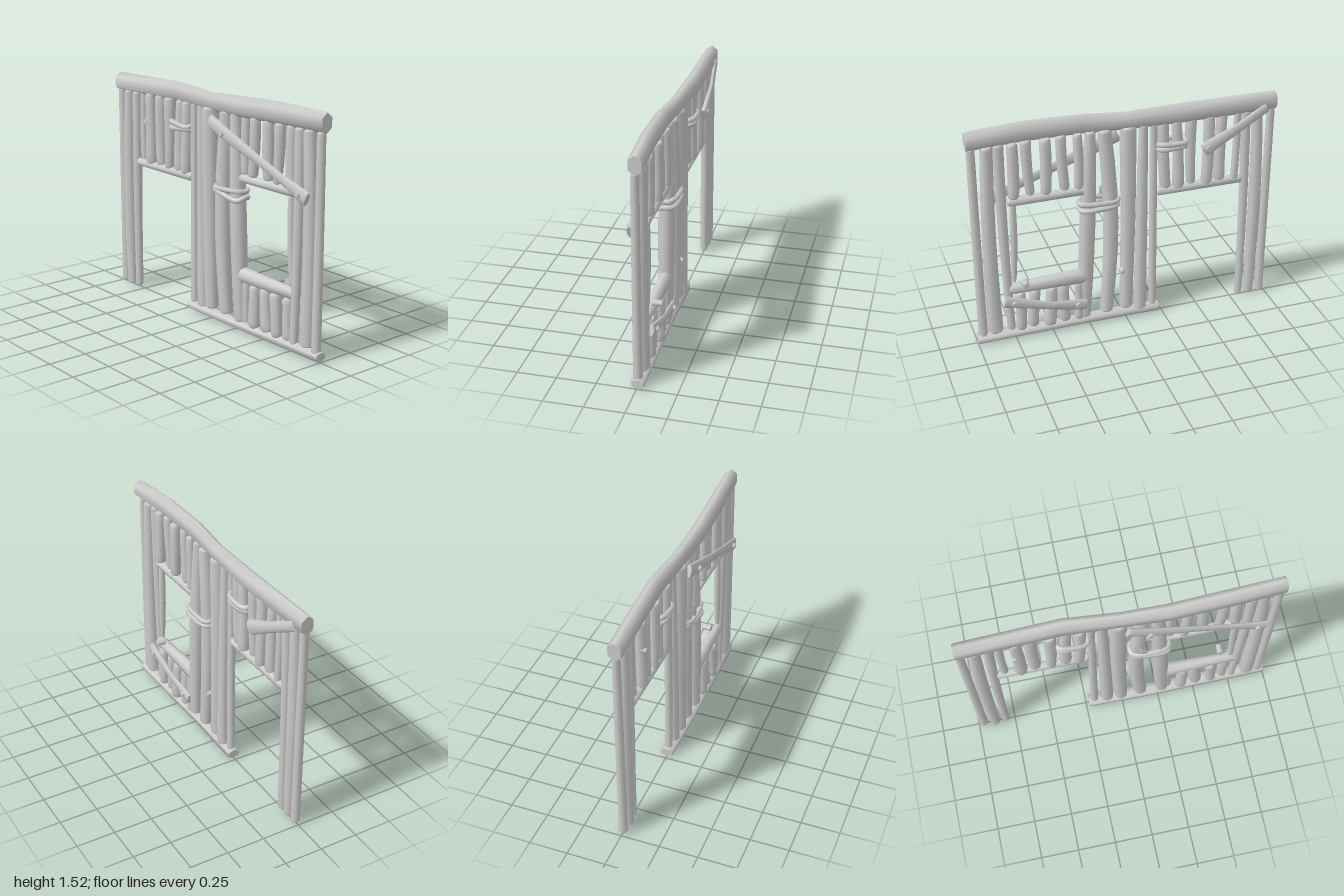
import * as THREE from 'three';

const wood = new THREE.MeshStandardMaterial({ color: 0xcccccc });
wood.name = 'paleWood';

// Smooth log through stations [x, y, z, radius] lying roughly in the wall plane; depth scales its z radius
function log(name, stations, { sides = 8, depth = 1, bevel = 0.75 } = {}) {
  const p = stations.map(s => new THREE.Vector3(s[0], s[1], s[2]));
  const r = stations.map(s => s[3]);
  // small bevel at both ends
  const inset = 0.014, last = p.length - 1;
  const start = p[0].clone(), end = p[last].clone();
  p[0].add(p[1].clone().sub(start).setLength(inset));
  p[last].add(p[last - 1].clone().sub(end).setLength(inset));
  p.unshift(start); r.unshift(r[0] * bevel);
  p.push(end); r.push(r[r.length - 1] * bevel);

  const pos = [], idx = [], n = p.length;
  const ring = i => {
    const t = p[Math.min(i + 1, n - 1)].clone().sub(p[Math.max(i - 1, 0)]);
    const l = Math.hypot(t.x, t.y);
    for (let j = 0; j < sides; j++) {
      const a = j / sides * Math.PI * 2, c = Math.cos(a) * r[i];
      pos.push(p[i].x + t.y / l * c, p[i].y - t.x / l * c, p[i].z - Math.sin(a) * r[i] * depth);
    }
  };
  for (let i = 0; i < n; i++) ring(i);
  for (let i = 0; i < n - 1; i++) for (let j = 0; j < sides; j++) {
    const k = (j + 1) % sides, a = i * sides, b = a + sides;
    idx.push(a + j, a + k, b + j, a + k, b + k, b + j);
  }
  // flat end caps with their own vertices
  for (const i of [0, n - 1]) {
    const base = pos.length / 3;
    ring(i);
    pos.push(p[i].x, p[i].y, p[i].z);
    for (let j = 0; j < sides; j++) {
      const k = (j + 1) % sides;
      idx.push(base + sides, base + (i ? j : k), base + (i ? k : j));
    }
  }
  const g = new THREE.BufferGeometry();
  g.setAttribute('position', new THREE.Float32BufferAttribute(pos, 3));
  g.setIndex(idx);
  g.computeVertexNormals();
  const m = new THREE.Mesh(g, wood);
  m.name = name;
  return m;
}

// Upright stick from (xb, y0) to (xt, y1): radius runs rb to rt, bow bends it sideways, swell thickens the middle
function stick(name, y0, y1, z, xb, rb, xt, rt, bow = 0, swell = 0) {
  const stations = [];
  for (let i = 0; i <= 6; i++) {
    const t = i / 6, s = Math.sin(Math.PI * t);
    stations.push([xb + (xt - xb) * t + bow * s, y0 + (y1 - y0) * t, z, rb + (rt - rb) * t + swell * s]);
  }
  return log(name, stations);
}

// Faceted peg head
function peg(x, y, z, r = 0.022, len = 0.035) {
  const m = new THREE.Mesh(new THREE.CylinderGeometry(r * 0.75, r, len, 6), wood);
  m.rotation.x = Math.sign(z) * Math.PI / 2;
  m.position.set(x, y, z);
  m.name = 'peg';
  return m;
}

// Flattened rope loop around several posts, tilted differently at front and back
function ropeLoop(cx, cy, halfWidth, halfDepth, frontTilt, backTilt) {
  const pts = [];
  for (let i = 0; i < 20; i++) {
    const a = i / 20 * Math.PI * 2, c = Math.cos(a), s = Math.sin(a);
    pts.push(new THREE.Vector3(
      cx + halfWidth * Math.sign(c) * Math.abs(c) ** 0.7,
      cy + (s >= 0 ? frontTilt : backTilt) * c * Math.abs(s),
      halfDepth * Math.sign(s) * Math.abs(s) ** 0.6));
  }
  const m = new THREE.Mesh(
    new THREE.TubeGeometry(new THREE.CatmullRomCurve3(pts, true), 48, 0.017, 6, true), wood);
  m.name = 'ropeLoop';
  return m;
}

export function createModel() {
  const model = new THREE.Group();
  model.name = 'stickWall';
  const add = (...o) => model.add(...o);

  // Long beams and sills
  add(log('topBeam', [[-1, 1.425, 0, 0.066], [-0.35, 1.437, -0.018, 0.068], [0, 1.427, 0.004, 0.06],
    [0.28, 1.44, 0.02, 0.066], [0.65, 1.452, 0.01, 0.068], [1, 1.445, -0.01, 0.065]],
  { sides: 6, depth: 0.72, bevel: 0.95 }));
  add(log('bottomBeam', [[-0.23, 0.033, 0, 0.033], [0.2, 0.033, 0.006, 0.033], [1, 0.033, -0.004, 0.033]],
    { sides: 6, depth: 1.35, bevel: 0.92 }));
  add(log('doorLintel', [[-0.79, 0.902, 0, 0.03], [-0.21, 0.902, 0, 0.03]]));
  add(log('windowLintel', [[0.26, 0.99, 0, 0.028], [0.76, 0.995, 0, 0.033]]));
  add(log('windowSill', [[0.25, 0.37, 0, 0.055], [0.78, 0.365, 0, 0.038]], { depth: 0.85 }));

  // Door jamb posts
  add(stick('doorPost', 0.01, 1.38, 0, -0.965, 0.03, -0.975, 0.027));
  add(stick('doorPost', 0.01, 1.38, 0.004, -0.885, 0.035, -0.885, 0.036, -0.013, 0.007));
  add(stick('doorPost', 0.01, 1.38, 0, -0.812, 0.026, -0.803, 0.034, -0.008));

  // Wall posts between the sill and the top beam
  add(stick('wallPost', 0.06, 1.39, 0, -0.19, 0.027, -0.187, 0.025));
  add(stick('wallPost', 0.05, 1.39, -0.004, -0.1, 0.044, -0.118, 0.03, 0, 0.003));
  add(stick('wallPost', 0.07, 1.39, 0.005, -0.005, 0.045, -0.02, 0.056, -0.008));
  add(stick('wallPost', 0.07, 1.39, 0, 0.132, 0.045, 0.135, 0.045, -0.038, 0.006));
  add(stick('wallPost', 0.06, 1.39, 0.004, 0.28, 0.042, 0.223, 0.036, 0, 0.015));
  add(stick('wallPost', 0.05, 1.39, 0.005, 0.772, 0.026, 0.8, 0.036, 0.008));
  add(stick('wallPost', 0.07, 1.39, -0.005, 0.88, 0.05, 0.872, 0.04, 0.012));
  add(stick('wallPost', 0.05, 1.39, 0, 0.962, 0.03, 0.967, 0.027, 0.002));
  add(stick('windowPost', 0.42, 0.97, 0, 0.742, 0.016, 0.727, 0.02, -0.003, 0.005));

  // Rows of short slats: [bottom x, bottom radius, top x, top radius], alternately set forward and back
  const slats = (name, y0, y1, rows) => rows.forEach((row, i) => {
    const d = i % 2 ? 1 : -1;
    add(stick(name, y0, y1, d * 0.008, ...row, d * 0.005, 0.001));
  });
  slats('doorSlat', 0.92, 1.39, [[-0.738, 0.025, -0.742, 0.023], [-0.637, 0.041, -0.647, 0.036],
    [-0.545, 0.038, -0.552, 0.038], [-0.445, 0.03, -0.437, 0.04], [-0.353, 0.04, -0.332, 0.033], [-0.272, 0.037, -0.252, 0.036]]);
  slats('upperWindowSlat', 1.02, 1.39, [[0.305, 0.03, 0.31, 0.03], [0.39, 0.032, 0.41, 0.034],
    [0.517, 0.035, 0.513, 0.037], [0.61, 0.028, 0.63, 0.036], [0.722, 0.037, 0.717, 0.035]]);
  slats('lowerWindowSlat', 0.055, 0.33, [[0.322, 0.03, 0.322, 0.028], [0.412, 0.041, 0.417, 0.036],
    [0.522, 0.045, 0.5, 0.037], [0.625, 0.036, 0.605, 0.038], [0.71, 0.035, 0.712, 0.035]]);

  // Diagonal braces on front and back
  add(log('frontBrace', [[0.03, 1.318, 0.05, 0.048], [0.2, 1.25, 0.052, 0.046], [0.45, 1.16, 0.05, 0.033],
    [0.7, 1.07, 0.05, 0.032], [0.91, 0.99, 0.05, 0.048]], { depth: 0.4, bevel: 0.95 }));
  add(log('upperBackBrace', [[-0.93, 1.4, -0.042, 0.032], [-0.72, 1.29, -0.062, 0.034],
    [-0.5, 1.175, -0.06, 0.05]], { depth: 0.45, bevel: 0.9 }));
  add(log('lowerBackBrace', [[0.82, 0.305, -0.046, 0.042], [0.52, 0.215, -0.048, 0.028],
    [0.28, 0.175, -0.046, 0.04]], { depth: 0.45, bevel: 0.9 }));

  // Pegs
  add(peg(0.167, 1.26, 0.067), peg(0.853, 1.012, 0.064), peg(-0.655, 1.203, 0.03, 0.022, 0.04));
  add(peg(-0.53, 1.19, -0.072, 0.026, 0.03), peg(0.76, 0.285, -0.06), peg(0.34, 0.19, -0.06));
  add(peg(0.68, 0.415, -0.05, 0.026, 0.06), peg(0.03, 0.37, -0.03, 0.02, 0.04));

  // Rope bindings
  add(ropeLoop(0.178, 0.905, 0.125, 0.055, 0.01, 0.01), ropeLoop(0.18, 0.868, 0.125, 0.058, -0.035, -0.008));
  add(ropeLoop(-0.305, 1.24, 0.095, 0.05, -0.02, 0.006), ropeLoop(-0.305, 1.212, 0.095, 0.046, 0.012, -0.006));

  // Loose leaf-shaped knot end
  add(log('knotEnd', [[0.15, 0.9, 0.055, 0.012], [0.125, 0.955, 0.058, 0.033], [0.105, 1.015, 0.056, 0.008]], { depth: 0.25 }));
  return model;
}
